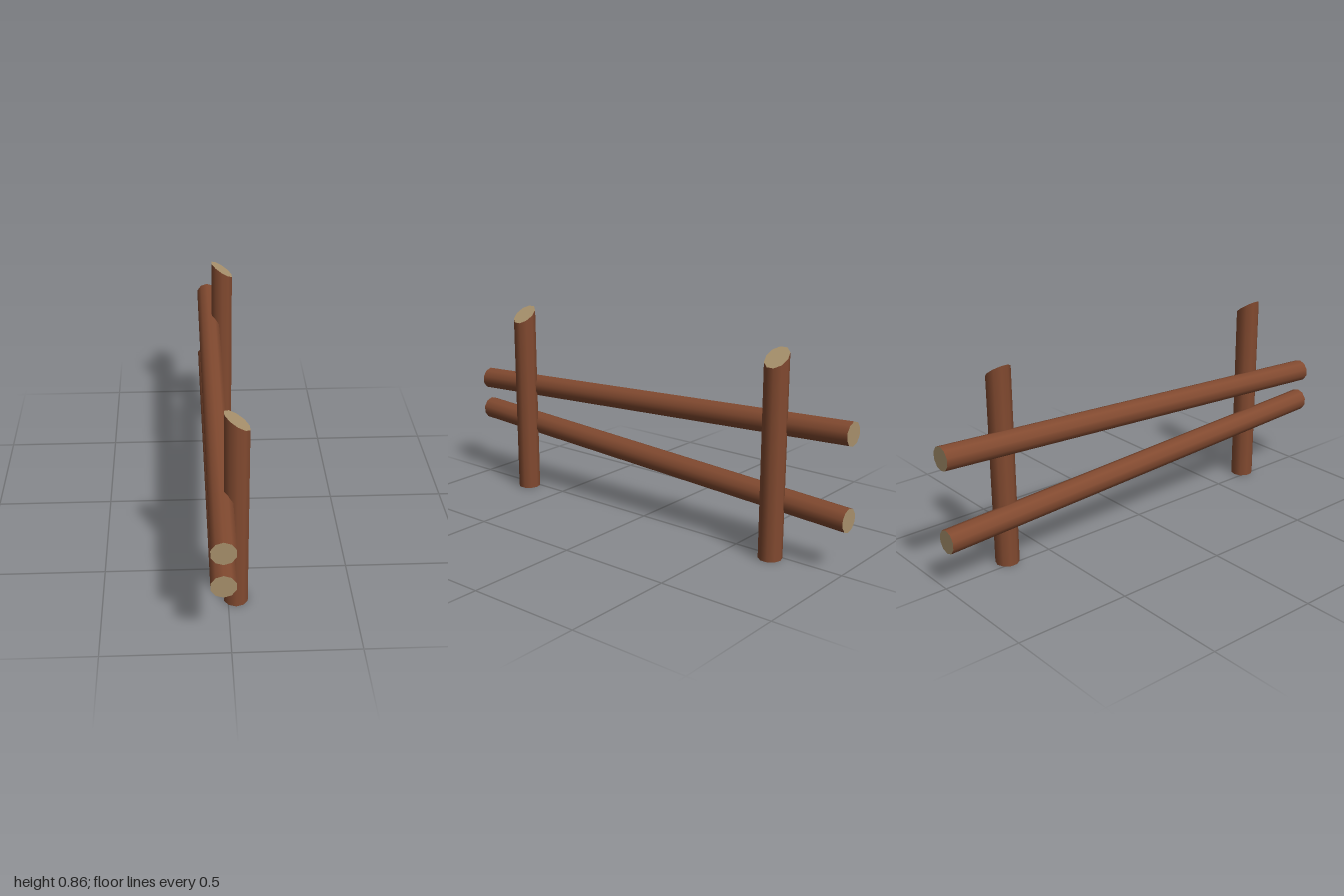
import * as THREE from 'three';

const RADIUS = 0.05;
const SIDES = 10;

export function createModel() {
  const bark = new THREE.MeshStandardMaterial({ color: 0x824a30 });
  bark.name = 'bark';
  const cutWood = new THREE.MeshStandardMaterial({ color: 0xa8916c });
  cutWood.name = 'cutWood';

  const model = new THREE.Group();
  model.name = 'fence';

  // Round log: bark on the side, bare wood on both ends
  function addLog(name, geometry, x, y, z) {
    const log = new THREE.Mesh(geometry, [bark, cutWood, cutWood]);
    log.name = name;
    log.position.set(x, y, z);
    model.add(log);
  }

  // Upright post standing on y = 0, its top sawn off at a slant
  function postGeometry(height, slope) {
    const geo = new THREE.CylinderGeometry(RADIUS, RADIUS, height, SIDES);
    geo.translate(0, height / 2, 0);
    const pos = geo.attributes.position;
    const normal = geo.attributes.normal;
    const topNormal = new THREE.Vector3(slope, 1, 0).normalize();
    for (let i = 0; i < pos.count; i++) {
      if (pos.getY(i) < height / 2) continue;
      pos.setY(i, height - slope * pos.getX(i));
      if (normal.getY(i) > 0.5) normal.setXYZ(i, topNormal.x, topNormal.y, topNormal.z);
    }
    return geo;
  }

  // Long rail along z, sheared so its ends stay vertical
  function railGeometry(length, rise) {
    const geo = new THREE.CylinderGeometry(RADIUS, RADIUS, length, SIDES);
    geo.rotateX(Math.PI / 2);
    const pos = geo.attributes.position;
    for (let i = 0; i < pos.count; i++) {
      pos.setY(i, pos.getY(i) - rise * pos.getZ(i));
    }
    return geo;
  }

  // Two posts
  addLog('frontPost', postGeometry(0.832, 0.69), 0.031, 0, 0.688);
  addLog('backPost', postGeometry(0.832, 0.69), 0.031, 0, -0.688);

  // Two rails, spreading apart towards the back
  addLog('upperRail', railGeometry(2, 0.05), -0.031, 0.52, 0);
  addLog('lowerRail', railGeometry(2, -0.05), -0.031, 0.27, 0);

  return model;
}
